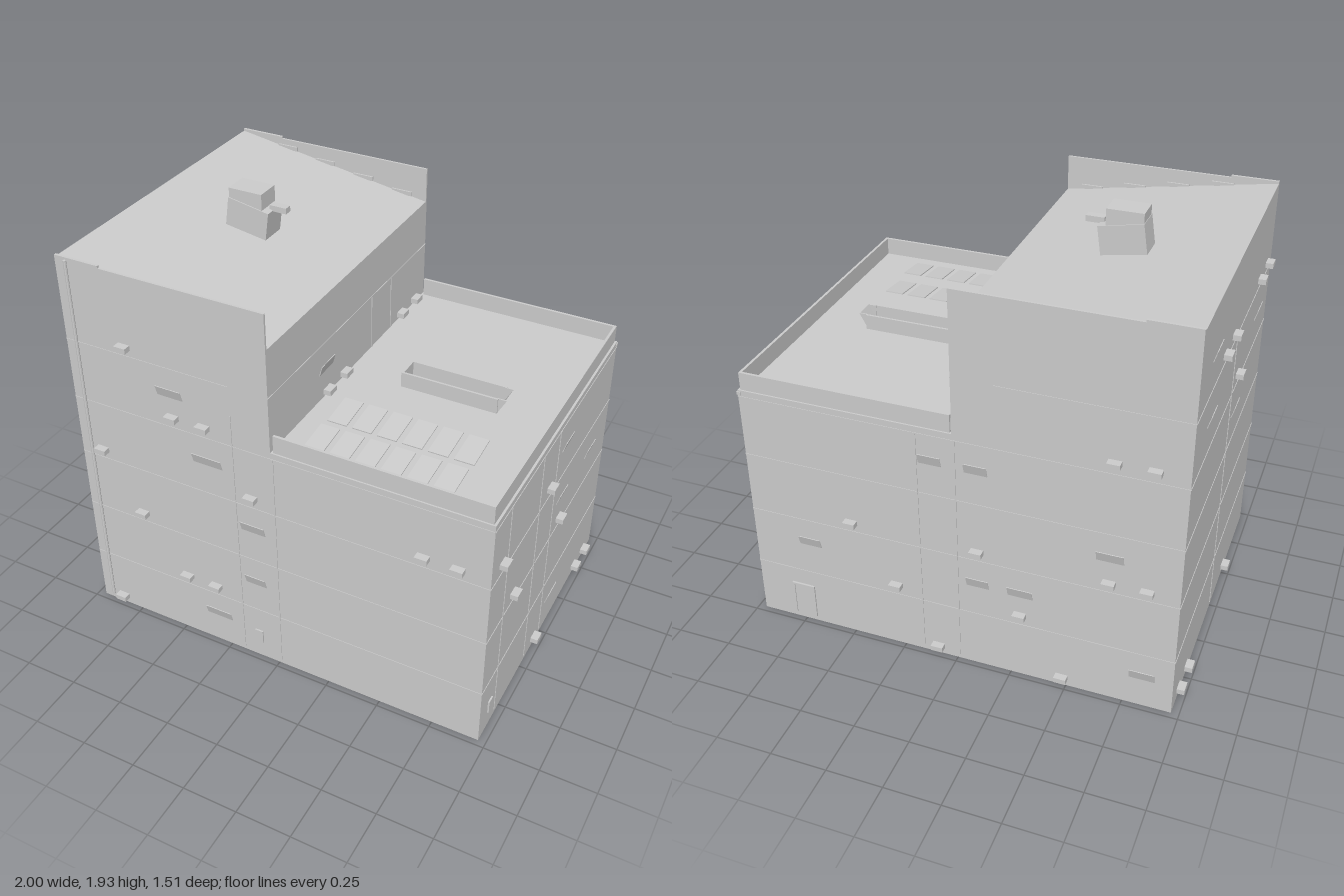
import * as THREE from 'three';

const W = 0.965, D = 0.722, LOW = 1.18, TALL = 1.825, EAVE = 1.66;
const mat = new THREE.MeshStandardMaterial({ color: 0xcccccc, side: THREE.DoubleSide, flatShading: true });

function add(parent, geo, name, x = 0, y = 0, z = 0) {
  const m = new THREE.Mesh(geo, mat);
  m.name = name;
  m.position.set(x, y, z);
  parent.add(m);
  return m;
}
const box = (parent, name, w, h, d, x, y, z) => add(parent, new THREE.BoxGeometry(w, h, d), name, x, y, z);

// Side profile in x/y, extruded along z between z0 and z1
function profile(parent, name, pts, z0, z1) {
  const shape = new THREE.Shape(pts.map(p => new THREE.Vector2(...p)));
  return add(parent, new THREE.ExtrudeGeometry(shape, { depth: z1 - z0, bevelEnabled: false }), name, 0, 0, z0);
}

// One facade, drawn with local +z pointing away from the wall; s flips listed coordinates to local x
function facade(parent, name, angle, offset, s, { units = [], windows = [], ledges = [], joints = [] }) {
  const g = new THREE.Group();
  g.name = name;
  g.rotation.y = angle;
  g.position.set(Math.sin(angle) * offset, 0, Math.cos(angle) * offset);
  parent.add(g);
  // Air conditioners hung on the wall
  for (const [u, y] of units) {
    box(g, 'airConditioner', 0.055, 0.024, 0.034, s * u, y, 0.017);
    box(g, 'airConditionerBracket', 0.04, 0.004, 0.024, s * u, y - 0.014, 0.012);
  }
  // Hopper windows, hinged at the sill and tilted out at the top
  for (const [u, y, w] of windows) {
    const m = box(g, 'tiltedWindow', w, 0.05, 0.003, s * u, y, 0.008);
    m.rotation.x = 0.28;
  }
  // Thin floor ledges and upright panel joints
  for (const [u0, u1, y] of ledges) box(g, 'floorLedge', u1 - u0, 0.004, 0.003, s * (u0 + u1) / 2, y, 0.001);
  for (const [u, y0, y1] of joints) box(g, 'panelJoint', 0.005, y1 - y0, 0.004, s * u, (y0 + y1) / 2, 0.001);
  return g;
}

export function createModel() {
  const model = new THREE.Group();
  model.name = 'apartmentBuilding';

  // Main volumes: low wing and tall wing with a roof falling towards the low wing
  profile(model, 'buildingBody',
    [[-W, 0], [W, 0], [W, LOW], [0, LOW], [0, EAVE], [-W, TALL - 0.005]], -D, D);

  // Level gable walls beside the sloping roof
  const gable = [[-W, TALL - 0.01], [0, EAVE], [0, TALL - 0.005], [-W, TALL - 0.005]];
  for (const s of [-1, 1]) {
    profile(model, 'gableWall', gable, s > 0 ? D - 0.01 : -D, s > 0 ? D : -D + 0.01);
    box(model, 'gableCap', 0.21, 0.012, 0.012, -W + 0.105, 1.824, s * (D - 0.006));
    for (let i = 0; i < 4; i++) {
      const x = -0.72 + i * 0.2;
      box(model, 'gableRib', 0.1, 0.02, 0.008, x, 1.665 - x * 0.165, s * (D - 0.014));
    }
  }

  // Parapet around the low roof
  const py = (LOW + 1.262) / 2 - 0.002, ph = 0.086;
  for (const s of [-1, 1]) box(model, 'parapet', 0.945, ph, 0.012, 0.4825, py, s * 0.709);
  box(model, 'parapet', 0.012, ph, 1.42, 0.949, py, 0);

  // Solar panels
  for (const z of [0.35, 0.56])
    for (let i = 0; i < 6; i++) {
      const p = box(model, 'solarPanel', 0.087, 0.005, 0.157, 0.144 + i * 0.113, LOW + 0.015, z);
      p.rotation.x = 0.12;
    }

  // Open trough on the low roof with a sloping flap at one end
  for (const s of [-1, 1]) {
    box(model, 'troughSide', 0.44, 0.07, 0.01, 0.475, LOW + 0.035, s * 0.05);
    profile(model, 'troughCheek', [[0.69, LOW], [0.73, LOW + 0.07], [0.69, LOW + 0.07]], s * 0.045 - 0.003, s * 0.045 + 0.003);
  }
  box(model, 'troughEnd', 0.01, 0.07, 0.1, 0.26, LOW + 0.035, 0);
  const flap = box(model, 'troughFlap', 0.006, 0.078, 0.09, 0.71, LOW + 0.035, 0);
  flap.rotation.z = -0.5;

  // Roof vent: leaning base, level cap and a side outlet
  profile(model, 'ventBase', [[-0.585, 1.75], [-0.39, 1.72], [-0.372, 1.85], [-0.565, 1.885]], -0.06, 0.06);
  profile(model, 'ventCap', [[-0.563, 1.87], [-0.405, 1.845], [-0.405, 1.928], [-0.563, 1.928]], -0.055, 0.055);
  box(model, 'ventOutlet', 0.08, 0.026, 0.036, -0.35, 1.858, 0);

  // Drainpipe on the front and small spout at the low roof corner
  const pipe = new THREE.CylinderGeometry(0.007, 0.007, 1.79, 8);
  add(model, pipe, 'drainpipe', -0.91, 0.925, D + 0.006);
  box(model, 'roofSpout', 0.02, 0.014, 0.02, W - 0.006, 1.166, -D + 0.006);

  // Floor ledge levels shared by the facades
  const floors = [0.28, 0.57, 0.86, 1.15];
  const full = (a, b) => floors.map(y => [a, b, y]);
  const upper = [-W, -0.18, 1.44];

  const front = facade(model, 'frontFacade', 0, D, 1, {
    units: [[-0.67, 1.485], [-0.46, 1.205], [-0.31, 1.205], [-0.85, 0.91], [-0.1, 0.915], [0.68, 0.915],
      [0.83, 0.915], [-0.67, 0.62], [-0.46, 0.335], [-0.31, 0.335], [-0.85, 0.045]],
    windows: [[-0.465, 1.325, 0.12], [-0.305, 1.035, 0.14], [-0.1, 0.75, 0.115], [-0.1, 0.455, 0.1], [-0.305, 0.175, 0.13]],
    ledges: [...full(-W, W), upper],
    joints: [[-0.18, 0.02, 1.3], [0.01, 0.02, 1.15]],
  });
  box(front, 'ventHatch', 0.04, 0.07, 0.008, -0.1, 0.12, 0.003);

  const left = facade(model, 'lowWingFacade', Math.PI / 2, W, -1, {
    units: [[0.615, 0.915], [0.09, 0.915], [0.45, 0.62], [-0.09, 0.62], [0.09, 0.045], [-0.46, 0.04], [-0.595, 0.04]],
    windows: [[-0.09, 1.035, 0.1], [-0.09, 0.75, 0.1], [-0.46, 0.75, 0.105], [-0.09, 0.17, 0.105]],
    ledges: full(-D, D),
    joints: [[0.55, 0.02, 1.15], [0.2, 0.02, 1.15], [0.01, 0.02, 1.15]],
  });
  box(left, 'ventHatch', 0.04, 0.065, 0.008, -0.615, 0.115, 0.003);

  facade(model, 'upperInnerFacade', Math.PI / 2, 0, -1, {
    units: [[-0.61, 1.205], [-0.46, 1.205], [0.1, 1.205], [0.25, 1.205]],
    windows: [[0.255, 1.33, 0.115]],
    ledges: [[-D, D, 1.44]],
    joints: [[-0.17, LOW, 1.44], [-0.36, LOW, 1.44]],
  });

  facade(model, 'tallWingFacade', -Math.PI / 2, W, 1, {
    units: [[-0.26, 1.485], [-0.09, 1.485], [0.44, 1.485], [0.61, 1.485], [0.09, 1.205], [-0.61, 0.045], [-0.47, 0.045], [0.26, 0.045]],
    windows: [[-0.46, 1.61, 0.1], [-0.46, 1.32, 0.1], [0.46, 1.32, 0.1], [0.09, 1.035, 0.1]],
    ledges: [...full(-D, D), [-D, D, 1.44]],
    joints: [[0, 0.02, 1.44]],
  });

  const back = facade(model, 'backFacade', Math.PI, D, -1, {
    units: [[-0.83, 1.205], [-0.67, 1.205], [-0.83, 0.62], [-0.67, 0.62], [-0.1, 0.62], [0.48, 0.62],
      [-0.29, 0.335], [0.28, 0.335], [-0.48, 0.045], [0.09, 0.045]],
    windows: [[0.1, 1.035, 0.1], [-0.1, 1.035, 0.1], [0.69, 0.46, 0.105], [-0.67, 0.75, 0.115], [-0.1, 0.455, 0.1],
      [-0.29, 0.455, 0.11], [-0.83, 0.17, 0.11]],
    ledges: [...full(-W, W), upper],
    joints: [[0.16, 0.02, 1.15], [-0.01, 0.02, 1.15]],
  });
  // Entrance door with a thin frame
  box(back, 'door', 0.09, 0.16, 0.003, -0.75, 0.11, 0.001);
  box(back, 'doorLintel', 0.11, 0.01, 0.01, -0.75, 0.195, 0.004);
  for (const s of [-1, 1]) box(back, 'doorJamb', 0.01, 0.17, 0.008, -0.75 + s * 0.05, 0.11, 0.003);

  return model;
}
